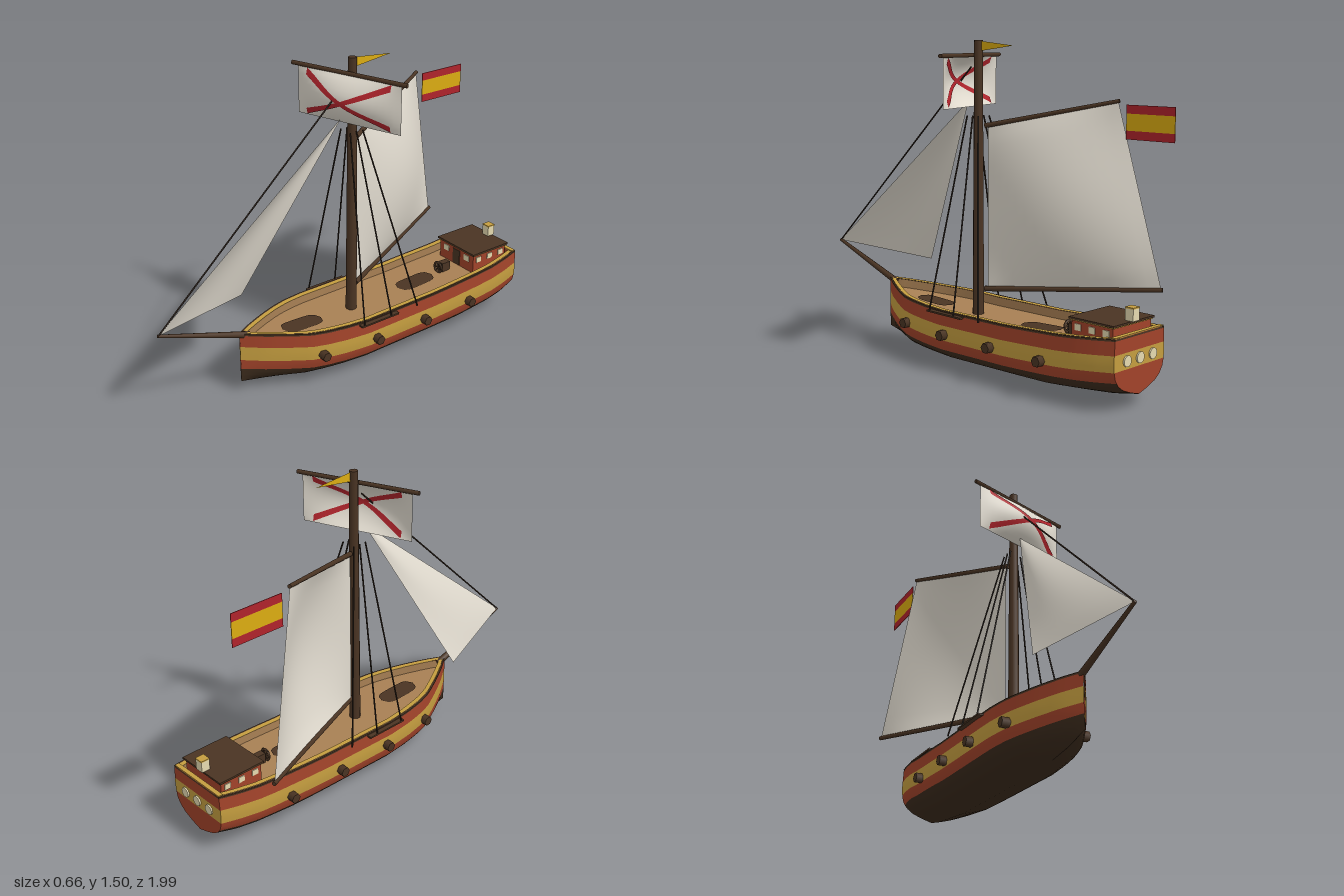
import * as THREE from 'three';

const mat = (name, color) => {
  const m = new THREE.MeshStandardMaterial({ color, side: THREE.DoubleSide });
  m.name = name;
  return m;
};

export function createModel() {
  const M = {
    red: mat('hullRed', 0xa2432a), ochre: mat('ochre', 0xc49d3f), tar: mat('tar', 0x3d2c1d),
    wood: mat('darkWood', 0x4a3423), deck: mat('deckTan', 0xa88054), sail: mat('canvas', 0xe0dace),
    flagRed: mat('flagRed', 0xb0232b), flagGold: mat('flagGold', 0xdcac12),
    pale: mat('paleGlass', 0xe6dab0), rope: mat('rope', 0x2b2018),
  };
  const model = new THREE.Group();
  const ship = new THREE.Group();
  ship.name = 'ship';
  ship.position.x = 0.027;
  model.add(ship);

  // Helpers
  const add = (name, geo, m, x = 0, y = 0, z = 0) => {
    const mesh = new THREE.Mesh(geo, m);
    mesh.name = name;
    mesh.position.set(x, y, z);
    ship.add(mesh);
    return mesh;
  };
  const box = (name, m, w, h, d, x, y, z) => add(name, new THREE.BoxGeometry(w, h, d), m, x, y, z);
  const rod = (name, m, a, b, r1, r2 = r1, sides = 8) => {
    const p = new THREE.Vector3(...a), q = new THREE.Vector3(...b), d = q.clone().sub(p);
    const mesh = add(name, new THREE.CylinderGeometry(r2, r1, d.length(), sides), m);
    mesh.position.copy(p).add(q).multiplyScalar(0.5);
    mesh.quaternion.setFromUnitVectors(new THREE.Vector3(0, 1, 0), d.normalize());
    return mesh;
  };
  // Sheet whose points follow fn(u, v) -> [x, y, z]
  const sheet = (name, m, nu, nv, fn) => {
    const g = new THREE.PlaneGeometry(1, 1, nu, nv), p = g.attributes.position;
    for (let i = 0; i < p.count; i++) p.setXYZ(i, ...fn(p.getX(i) + 0.5, 0.5 - p.getY(i)));
    g.computeVertexNormals();
    return add(name, g, m);
  };
  const lookup = (table) => (t) => {
    let i = 1;
    while (i < table.length - 1 && t > table[i][0]) i++;
    const [a, b] = [table[i - 1], table[i]];
    return THREE.MathUtils.lerp(a[1], b[1], THREE.MathUtils.clamp((t - a[0]) / (b[0] - a[0]), 0, 1));
  };

  // Hull lines: plan width, sheer, keel and section shape
  const BOW = 0.59, STERN = -0.99;
  const width = lookup([[-0.99, 0.167], [-0.9, 0.188], [-0.8, 0.203], [-0.5, 0.211], [0, 0.213], [0.12, 0.205],
    [0.22, 0.189], [0.3, 0.166], [0.4, 0.118], [0.5, 0.063], [0.59, 0.002]]);
  const sheer = lookup([[-0.99, 0.32], [-0.7, 0.295], [-0.4, 0.281], [0, 0.276], [0.3, 0.287], [0.59, 0.315]]);
  const keel = lookup([[-0.99, 0.062], [-0.9, 0.042], [-0.6, 0.012], [0, 0.002], [0.3, 0.012], [0.45, 0.03], [0.59, 0.062]]);
  const section = lookup([[0, 0], [0.06, 0.32], [0.14, 0.63], [0.23, 0.82], [0.33, 0.93], [0.45, 0.98], [0.62, 1], [1, 0.965]]);
  const half = (z, y) => width(z) * section((y - keel(z)) / (sheer(z) - keel(z)));
  const zAt = (u) => THREE.MathUtils.lerp(BOW, STERN, u);

  // Painted hull bands, measured down from the sheer
  const bands = [['sheerStrake', M.wood, 0, 0.008], ['upperHull', M.red, 0.008, 0.067], ['hullStripe', M.ochre, 0.067, 0.137],
    ['lowerHull', M.red, 0.137, 0.185], ['hullBottom', M.tar, 0.185, 1]];
  for (const [name, m, top, bottom] of bands) {
    const yAt = (z, v) => THREE.MathUtils.lerp(sheer(z) - top, Math.max(keel(z), sheer(z) - bottom), v);
    const rows = bottom === 1 ? 12 : 3;
    for (const s of [-1, 1]) {
      sheet(name, m, 48, rows, (u, v) => {
        const z = zAt(u), y = yAt(z, v);
        return [s * half(z, y), y, z];
      });
    }
    // Flat transom continues the bands
    sheet('transom', m === M.tar ? M.red : m, 2, rows, (u, v) => {
      const y = yAt(STERN, v);
      return [(1 - 2 * u) * half(STERN, y), y, STERN];
    });
  }
  for (const x of [-0.085, 0, 0.085]) {
    const w = add('sternWindow', new THREE.CylinderGeometry(0.024, 0.024, 0.008, 14), M.pale, x, 0.218, STERN - 0.003);
    w.rotation.x = Math.PI / 2;
  }

  // Deck, bulwark lining and rail
  const deckY = (z) => sheer(z) - 0.042;
  const inner = (z, inset) => Math.max(0, half(z, sheer(z)) - inset);
  sheet('deck', M.deck, 40, 2, (u, v) => {
    const z = zAt(u);
    return [(2 * v - 1) * inner(z, 0.026), deckY(z), z];
  });
  for (const s of [-1, 1]) {
    sheet('bulwarkLining', M.deck, 40, 1, (u, v) => {
      const z = zAt(u);
      return [s * inner(z, 0.028), sheer(z) - v * 0.044, z];
    });
    sheet('railCap', M.ochre, 40, 1, (u, v) => {
      const z = zAt(u);
      return [s * inner(z, 0.008 + 0.024 * v), sheer(z) + 0.002, z];
    });
    sheet('railEdge', M.wood, 40, 1, (u, v) => {
      const z = zAt(u);
      return [s * inner(z, 0.009 * v - 0.002), sheer(z) + 0.001, z];
    });
  }
  box('sternBulwark', M.red, 0.3, 0.045, 0.018, 0, 0.298, -0.979);
  box('sternRail', M.ochre, 0.318, 0.005, 0.022, 0, 0.322, -0.977);
  // Dark deck hatches
  for (const zc of [-0.45, 0.245]) {
    sheet('deckHatch', M.wood, 16, 2, (u, v) => {
      const z = zc + (u - 0.5) * 0.22;
      return [(2 * v - 1) * 0.05 * Math.sqrt(1 - Math.abs(2 * u - 1) ** 5), deckY(z) + 0.005, z];
    });
  }

  // Stern cabin
  box('cabin', M.red, 0.25, 0.1, 0.22, 0, 0.303, -0.84);
  box('cabinTrim', M.ochre, 0.262, 0.005, 0.232, 0, 0.353, -0.84);
  box('cabinRoof', M.wood, 0.27, 0.009, 0.24, 0, 0.36, -0.84);
  for (const s of [-1, 1]) {
    for (const z of [-0.765, -0.84, -0.915]) box('cabinWindow', M.pale, 0.006, 0.028, 0.032, s * 0.126, 0.324, z);
    box('cabinFrontWindow', M.pale, 0.036, 0.03, 0.006, s * 0.075, 0.322, -0.729);
  }
  box('cabinDoor', M.wood, 0.05, 0.08, 0.006, 0, 0.3, -0.729);
  box('lantern', M.pale, 0.042, 0.052, 0.042, 0, 0.391, -0.948);
  box('lanternCap', M.ochre, 0.044, 0.006, 0.044, 0, 0.419, -0.948);

  // Steering stand and wheel
  box('wheelStand', M.wood, 0.035, 0.055, 0.05, 0, 0.27, -0.645);
  add('steeringWheel', new THREE.TorusGeometry(0.026, 0.006, 6, 14), M.wood, 0, 0.277, -0.605);
  for (let i = 0; i < 3; i++) {
    const a = i * Math.PI / 3, c = Math.cos(a) * 0.032, d = Math.sin(a) * 0.032;
    rod('wheelSpoke', M.wood, [-c, 0.277 - d, -0.605], [c, 0.277 + d, -0.605], 0.004, 0.004, 5);
  }

  // Hexagonal guns, shroud boards and shrouds on both sides
  for (const s of [-1, 1]) {
    for (const z of [0.25, -0.04, -0.335, -0.63]) {
      const h = half(z, 0.17);
      rod('gun', M.wood, [s * (h - 0.035), 0.17, z], [s * (h + 0.034), 0.17, z], 0.024, 0.024, 6);
    }
    box('shroudBoard', M.wood, 0.026, 0.008, 0.22, s * 0.216, 0.268, -0.05);
    for (const z of [0.045, -0.115, -0.275])
      rod('shroud', M.rope, [s * 0.226, 0.27, z], [s * 0.035, 1.16, -0.045 + (z + 0.115) * 0.22], 0.004, 0.004, 5);
  }

  // Spars and forestay
  const MAST = -0.047;
  rod('mast', M.wood, [0, 0.22, MAST], [0, 1.5, MAST], 0.027, 0.02, 10);
  rod('bowsprit', M.wood, [0, 0.295, 0.54], [0, 0.453, 0.995], 0.017, 0.008);
  rod('forestay', M.rope, [0, 0.455, 0.99], [0, 1.38, 0], 0.004, 0.004, 5);
  rod('gaff', M.wood, [-0.01, 1.115, -0.08], [-0.268, 1.24, -0.65], 0.012, 0.009);
  rod('boom', M.wood, [-0.01, 0.357, -0.08], [-0.352, 0.417, -0.84], 0.013, 0.01);
  rod('yard', M.wood, [-0.27, 1.433, 0.088], [0.298, 1.433, -0.115], 0.01);

  // Sails: a bilinear patch swelled along one direction
  const patch = (a, b, c, d, dir, swell) => (u, v, off = 0) => {
    const k = off + swell * Math.sin(Math.PI * u) * Math.sin(Math.PI * v) ** 0.8;
    return [0, 1, 2].map((i) =>
      (a[i] * (1 - u) + b[i] * u) * (1 - v) + (c[i] * (1 - u) + d[i] * u) * v + dir[i] * k);
  };
  const mainsail = patch([-0.02, 1.115, -0.09], [-0.265, 1.238, -0.645],
    [-0.02, 0.36, -0.09], [-0.35, 0.415, -0.835], [0.914, 0, -0.405], 0.085);
  sheet('mainsail', M.sail, 16, 16, (u, v) => mainsail(u ** 1.1, v));
  const jib = patch([0, 1.22, 0.025], [0, 1.22, 0.02], [0, 0.452, 0.995], [-0.17, 0.4, 0.467], [-0.9, 0, -0.3], 0.03);
  sheet('jib', M.sail, 14, 16, (u, v) => jib(u, v));
  const topsail = patch([-0.24, 1.43, 0.077], [0.273, 1.43, -0.106],
    [-0.24, 1.2, 0.077], [0.273, 1.2, -0.106], [0.337, 0, 0.94], 0.075);
  sheet('topsail', M.sail, 18, 12, (u, v) => topsail(u, v));
  // Diagonal cross painted on both faces, broader toward the ends
  for (const off of [-0.004, 0.004]) {
    for (const flip of [false, true]) {
      sheet('sailCross', M.flagRed, 24, 2, (a, b) => {
        const v = 0.09 + 0.82 * a + (b - 0.5) * (0.09 + 0.04 * Math.abs(2 * a - 1));
        return topsail(0.1 + 0.81 * a, flip ? 1 - v : v, off);
      });
    }
  }

  // Striped flag and masthead pennant
  const bars = [[M.flagRed, 1.206, 0.038], [M.flagGold, 1.15, 0.074], [M.flagRed, 1.094, 0.038]];
  for (const [m, y, h] of bars) box('flagBar', m, 0.003, h, 0.257, -0.267, y, -0.818);
  const pennant = new THREE.Shape([[0.06, 1.497], [0.265, 1.477], [0.06, 1.452]].map((p) => new THREE.Vector2(...p)));
  add('pennant', new THREE.ShapeGeometry(pennant), M.flagGold).rotation.y = Math.PI / 2;

  return model;
}
